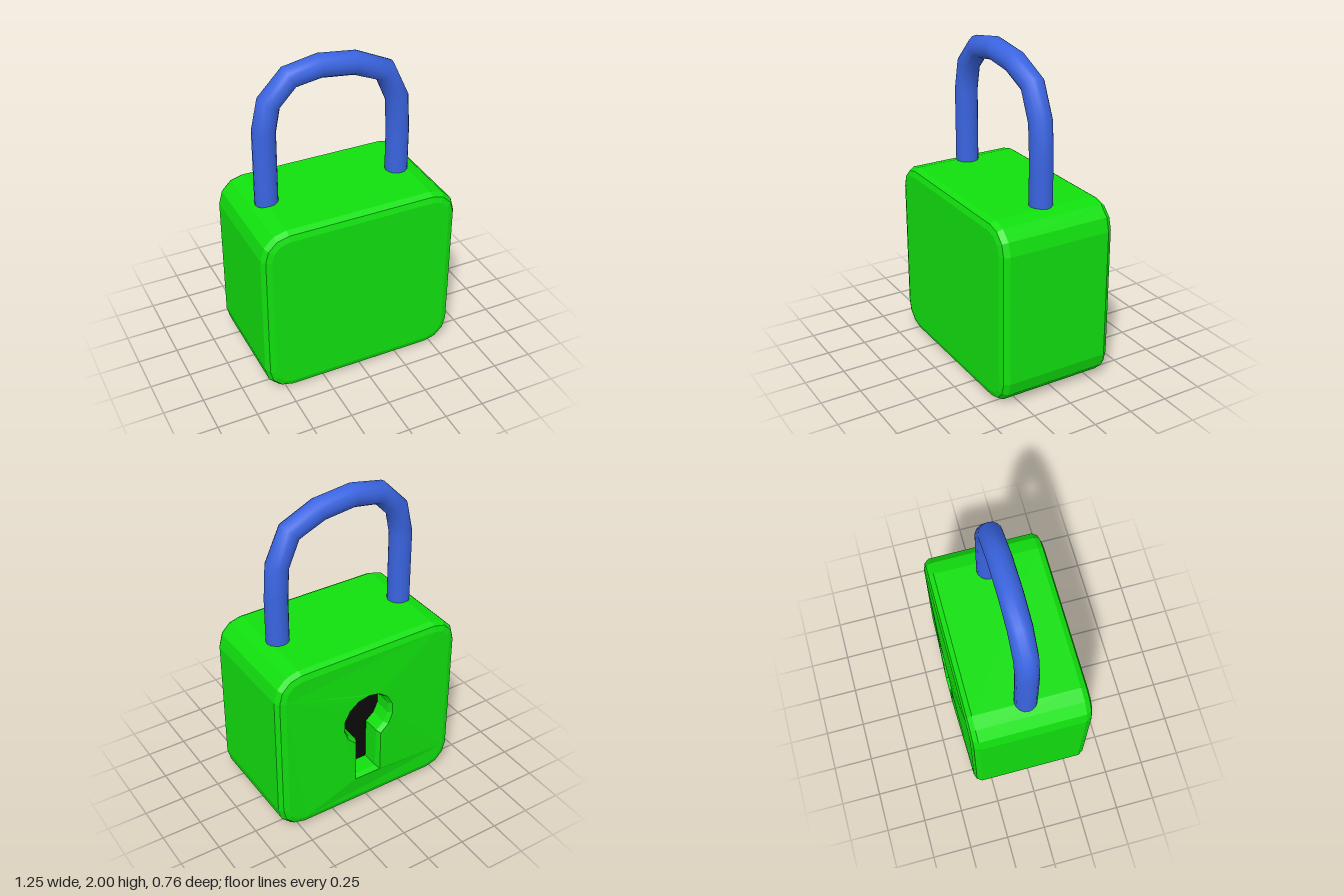
import * as THREE from 'three';

const W = 0.625, H = 1.14;            // body half width and height
const HOLE = { x: 0.02, y: 0.645, r: 0.175, slot: 0.09, bottom: 0.21 };

// Skins a list of closed loops (arrays of [x, y, z]) with quads
function loft(loops) {
  const n = loops[0].length, index = [];
  for (let k = 0; k < loops.length - 1; k++) {
    for (let i = 0; i < n; i++) {
      const j = (i + 1) % n;
      const a = k * n + i, b = k * n + j, c = a + n, d = b + n;
      index.push(a, c, d, a, d, b);
    }
  }
  const geo = new THREE.BufferGeometry();
  geo.setAttribute('position', new THREE.Float32BufferAttribute(loops.flat(2), 3));
  geo.setIndex(index);
  geo.computeVertexNormals();
  return geo;
}

// Rounded rectangle outline, counter-clockwise, three facets per corner
function bodyOutline(inset) {
  const R = 0.165, pts = [];
  [[1, 0], [1, 1], [-1, 1], [-1, 0]].forEach(([sx, top], corner) => {
    for (let i = 0; i <= 3; i++) {
      const a = (corner - 1 + i / 3) * Math.PI / 2;
      pts.push([
        sx * (W - R) + (R - inset) * Math.cos(a),
        (top ? H - R : R) + (R - inset) * Math.sin(a),
      ]);
    }
  });
  return pts;
}

// Keyhole outline, clockwise: round head with a straight slot below
function keyholeOutline(inset) {
  const { x, y, r, slot, bottom } = HOLE, pts = [];
  const rr = r - inset, s = slot - inset, gap = Math.asin(s / rr), n = 12;
  for (let i = 0; i <= n; i++) {
    const a = -Math.PI / 2 - gap - (i / n) * (2 * Math.PI - 2 * gap);
    pts.push([x + rr * Math.cos(a), y + rr * Math.sin(a)]);
  }
  pts.push([x + s, bottom + inset], [x - s, bottom + inset]);
  return pts;
}

const atZ = (pts, z) => pts.map(([x, y]) => [x, y, z]);
const toVectors = (pts) => pts.map(([x, y]) => new THREE.Vector2(x, y));

// Turns a flat shape around so that it faces -z
function faceBack(geo) {
  geo.setIndex(Array.from(geo.index.array).reverse());
  geo.computeVertexNormals();
  return geo;
}

export function createModel() {
  const group = new THREE.Group();
  const green = new THREE.MeshStandardMaterial({ color: 0x11e00e, flatShading: true });
  const blue = new THREE.MeshStandardMaterial({ color: 0x3a64e0 });
  const black = new THREE.MeshStandardMaterial({ color: 0x0a0a0a });

  const add = (name, geo, mat, parent = group) => {
    const mesh = new THREE.Mesh(geo, mat);
    mesh.name = name;
    parent.add(mesh);
  };

  // Body: bevelled rim, flat front, back rising slightly towards the keyhole
  const body = new THREE.Group();
  body.name = 'body';
  group.add(body);
  const rim = [[0.055, 0.38], [0.02, 0.368], [0, 0.335], [0, -0.32], [0.02, -0.35], [0.055, -0.362]];
  add('bodySides', loft(rim.map(([inset, z]) => atZ(bodyOutline(inset), z))), green, body);

  const front = new THREE.ShapeGeometry(new THREE.Shape(toVectors(bodyOutline(0.055))));
  front.translate(0, 0, 0.38);
  add('bodyFront', front, green, body);

  const backShape = new THREE.Shape(toVectors(bodyOutline(0.055)));
  backShape.holes.push(new THREE.Path(toVectors(keyholeOutline(0))));
  const back = new THREE.ShapeGeometry(backShape);
  const p = back.attributes.position;
  for (let i = 0; i < p.count; i++) {
    const onHole = Math.abs(p.getX(i)) < 0.3 && p.getY(i) > 0.15 && p.getY(i) < 0.9;
    p.setZ(i, onHole ? -0.38 : -0.362);
  }
  add('bodyBack', faceBack(back), green, body);

  // Keyhole recess with a softened edge and a dark floor
  const recess = [[0.015, -0.24], [0.015, -0.35], [0.005, -0.373], [0, -0.38]];
  add('keyholeWall', loft(recess.map(([inset, z]) => atZ(keyholeOutline(inset), z))), green, body);
  const floor = new THREE.ShapeGeometry(new THREE.Shape(toVectors(keyholeOutline(0.015))));
  floor.translate(0, 0, -0.24);
  add('keyholeFloor', faceBack(floor), black, body);

  // Shackle: round bar along an uneven arch
  const path = toVectors([
    [-0.445, 1.1], [-0.445, 1.6], [-0.41, 1.77], [-0.285, 1.9], [-0.1, 1.932],
    [0.12, 1.905], [0.31, 1.82], [0.395, 1.63], [0.408, 1.42], [0.408, 1.1],
  ]);
  const rings = path.map((c, i) => {
    const before = path[Math.max(i - 1, 0)], after = path[Math.min(i + 1, path.length - 1)];
    const tIn = c.clone().sub(before).normalize(), tOut = after.clone().sub(c).normalize();
    const t = tIn.add(tOut).normalize();
    return Array.from({ length: 16 }, (_, k) => {
      const a = (k / 16) * Math.PI * 2, r = 0.07;
      return [c.x + t.y * r * Math.cos(a), c.y - t.x * r * Math.cos(a), 0.005 + r * Math.sin(a)];
    });
  });
  add('shackle', loft(rings), blue);

  return group;
}
